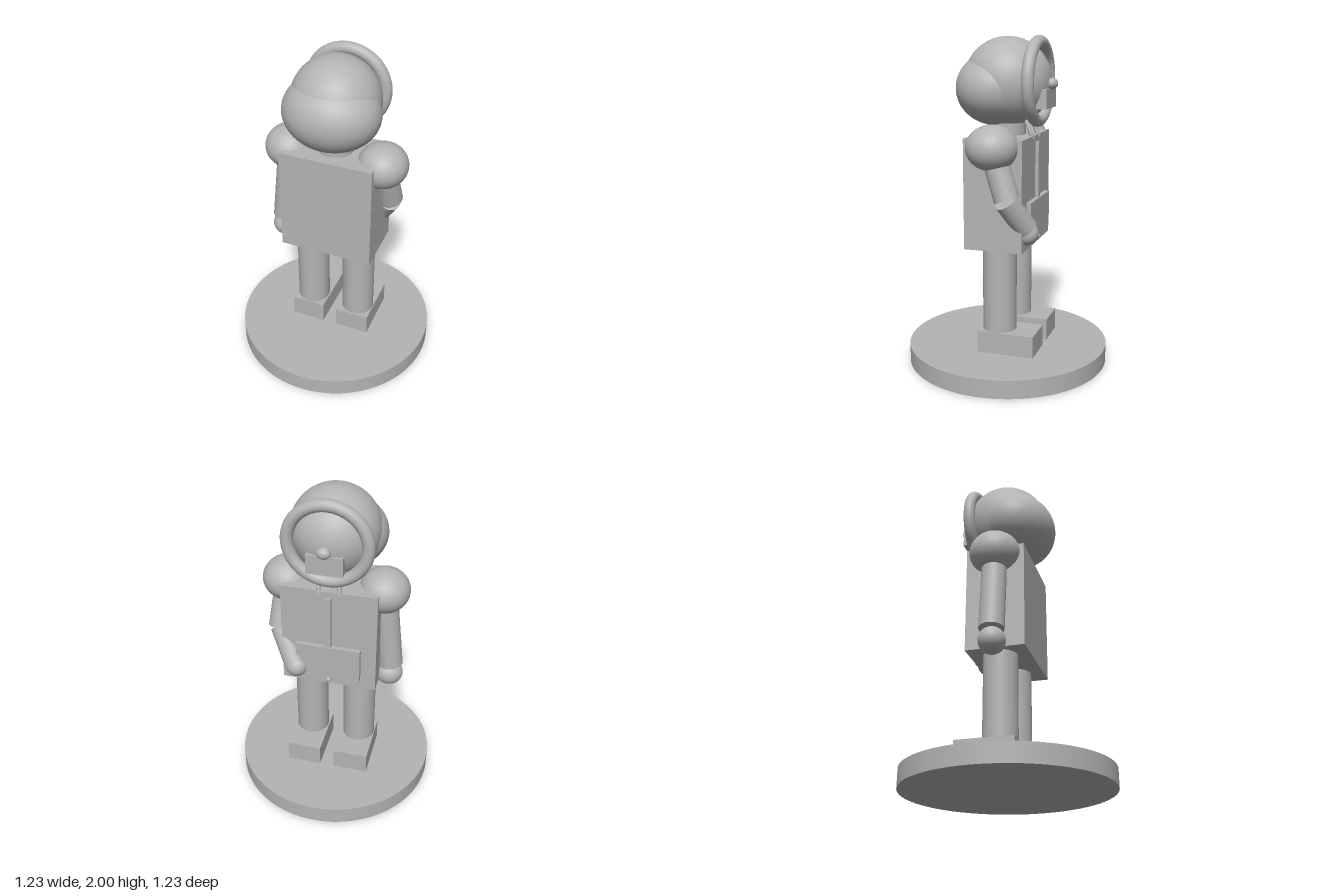
import * as THREE from 'three';

export function createModel() {
  const group = new THREE.Group();
  group.name = 'figurine';
  const grey = new THREE.MeshStandardMaterial({ name: 'plain grey', color: 0xb4b4b4 });

  const add = (name, geometry, x = 0, y = 0, z = 0) => {
    const mesh = new THREE.Mesh(geometry, grey);
    mesh.name = name;
    mesh.position.set(x, y, z);
    group.add(mesh);
    return mesh;
  };
  // Box from its extents
  const box = (name, x0, x1, y0, y1, z0, z1) =>
    add(name, new THREE.BoxGeometry(x1 - x0, y1 - y0, z1 - z0), (x0 + x1) / 2, (y0 + y1) / 2, (z0 + z1) / 2);
  const ellipsoid = (name, [x, y, z], [rx, ry, rz]) =>
    add(name, new THREE.SphereGeometry(1, 48, 32).scale(rx, ry, rz), x, y, z);
  // Cylinder between two points
  const limb = (name, from, to, radius) => {
    const a = new THREE.Vector3(...from);
    const b = new THREE.Vector3(...to);
    const dir = b.clone().sub(a);
    const mesh = add(name, new THREE.CylinderGeometry(radius, radius, dir.length(), 40));
    mesh.position.copy(a).add(b).multiplyScalar(0.5);
    mesh.quaternion.setFromUnitVectors(new THREE.Vector3(0, 1, 0), dir.normalize());
    return mesh;
  };

  // Display base
  add('base', new THREE.CylinderGeometry(0.617, 0.617, 0.112, 96), 0, 0.056, 0);

  // Paired parts; the figure looks toward -z
  for (const s of [-1, 1]) {
    const side = s > 0 ? 'left' : 'right';
    add(side + 'Foot', new THREE.BoxGeometry(0.215, 0.135, 0.35), s * 0.153, 0.178, -0.065);
    limb(side + 'Leg', [s * 0.155, 0.24, 0], [s * 0.155, 0.77, 0], 0.102);
    ellipsoid(side + 'Shoulder', [s * 0.29, 1.372, 0], [0.15, 0.133, 0.153]);
    // Hood cord
    const cord = new THREE.CatmullRomCurve3([
      new THREE.Vector3(s * 0.045, 1.52, -0.125),
      new THREE.Vector3(s * 0.06, 1.46, -0.15),
      new THREE.Vector3(s * 0.06, 1.4, -0.172),
    ]);
    add(side + 'Cord', new THREE.TubeGeometry(cord, 16, 0.013, 10));
  }

  // Torso, neck and head
  box('torso', -0.287, 0.287, 0.76, 1.418, -0.177, 0.178);
  limb('neck', [0, 1.4, 0], [0, 1.55, 0], 0.107);
  ellipsoid('head', [0, 1.73, 0], [0.262, 0.262, 0.262]);
  ellipsoid('hoodBack', [0, 1.69, 0.065], [0.287, 0.222, 0.242]);
  add('hoodRim', new THREE.TorusGeometry(0.229, 0.036, 24, 72), 0, 1.733, -0.19);

  // Face
  box('muzzle', -0.105, 0.105, 1.58, 1.695, -0.266, -0.2);
  ellipsoid('nose', [0, 1.722, -0.27], [0.041, 0.034, 0.035]);

  // Jacket front
  box('zipper', -0.018, 0.018, 0.82, 1.38, -0.198, -0.17);
  box('pocket', -0.195, 0.195, 0.825, 1.045, -0.206, -0.17);
  ellipsoid('zipPull', [0, 0.798, -0.188], [0.018, 0.018, 0.018]);

  // Hanging arm
  limb('rightArm', [-0.29, 1.372, 0], [-0.345, 0.85, 0], 0.075);
  ellipsoid('rightHand', [-0.338, 0.78, 0], [0.086, 0.08, 0.08]);

  // Bent arm reaching to the pocket
  limb('leftUpperArm', [0.29, 1.372, 0], [0.315, 1.08, -0.098], 0.075);
  limb('leftForearm', [0.315, 1.075, -0.09], [0.212, 0.895, -0.182], 0.069);
  ellipsoid('leftHand', [0.2, 0.865, -0.182], [0.07, 0.07, 0.07]);

  return group;
}
